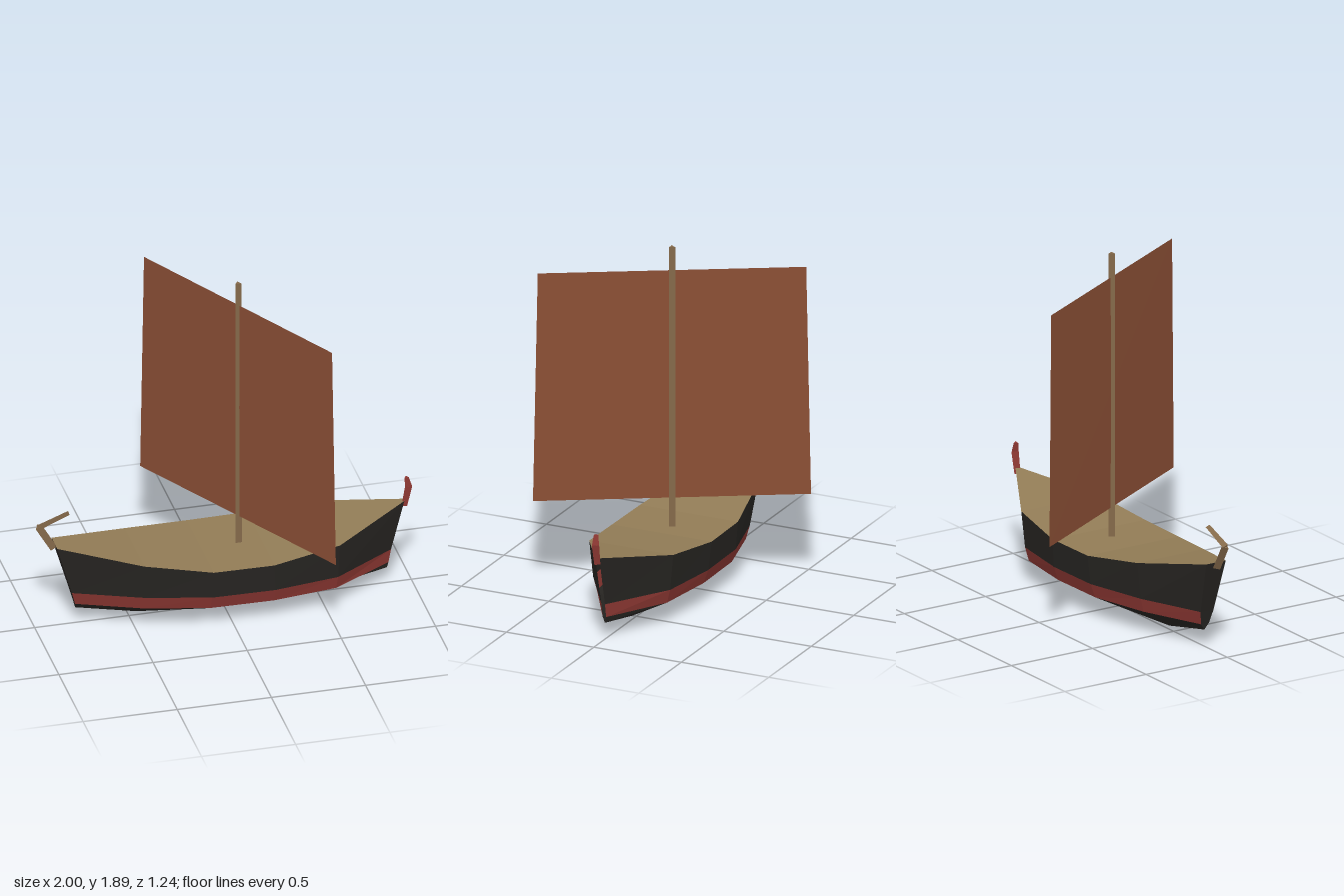
import * as THREE from 'three';

const mat = (color) => new THREE.MeshStandardMaterial({
  color, flatShading: true, side: THREE.DoubleSide, roughness: 0.9,
});

const V = (x, y, z) => new THREE.Vector3(x, y, z);
const mirrorZ = (row) => row.map((p) => V(p.x, p.y, -p.z));

// Flat quads between two rows of points, each pair [lower, upper] adding one strip
function stripMesh(name, material, pairs) {
  const pos = [];
  const tri = (...pts) => pts.forEach((p) => pos.push(p.x, p.y, p.z));
  for (const [a, b] of pairs) {
    for (let i = 0; i < a.length - 1; i++) {
      tri(a[i], a[i + 1], b[i + 1]);
      if (a[i].distanceTo(b[i]) > 1e-5) tri(a[i], b[i + 1], b[i]);
    }
  }
  const geo = new THREE.BufferGeometry();
  geo.setAttribute('position', new THREE.Float32BufferAttribute(pos, 3));
  geo.computeVertexNormals();
  const mesh = new THREE.Mesh(geo, material);
  mesh.name = name;
  return mesh;
}

// Three-sided tapered bar between two points
function bar(name, material, from, to, r0, r1) {
  const dir = to.clone().sub(from);
  const mesh = new THREE.Mesh(new THREE.CylinderGeometry(r1, r0, dir.length(), 3, 1), material);
  mesh.geometry.rotateY(Math.PI);
  mesh.name = name;
  mesh.position.copy(from).add(to).multiplyScalar(0.5);
  mesh.quaternion.setFromUnitVectors(V(0, 1, 0), dir.normalize());
  return mesh;
}

export function createModel() {
  const model = new THREE.Group();
  const black = mat(0x272522);
  const red = mat(0x8e3833);
  const plank = mat(0x927c56);
  const wood = mat(0x84694a);
  const cloth = mat(0x8b4f35);

  // Hull rows from stern to bow, each point [x, y, half width]
  const row = (pts) => pts.map((p) => V(...p));
  const keel = row([[-0.785, 0.095, 0], [-0.46, 0.025, 0], [-0.14, 0.005, 0],
    [0.22, 0.005, 0], [0.55, 0.025, 0], [0.87, 0.095, 0]]);
  const bandLow = row([[-0.792, 0.13, 0.025], [-0.46, 0.13, 0.16], [-0.13, 0.13, 0.24],
    [0.21, 0.13, 0.245], [0.55, 0.13, 0.2], [0.876, 0.13, 0.01]]);
  const bandHigh = row([[-0.812, 0.205, 0.04], [-0.465, 0.205, 0.18], [-0.125, 0.205, 0.265],
    [0.21, 0.205, 0.27], [0.555, 0.205, 0.22], [0.89, 0.205, 0.01]]);
  const rail = row([[-0.895, 0.49, 0.06], [-0.47, 0.405, 0.205], [-0.12, 0.36, 0.28],
    [0.2, 0.36, 0.285], [0.56, 0.402, 0.24], [0.96, 0.482, 0.012]]);

  const bothSides = (low, high) => [[low, high], [mirrorZ(high), mirrorZ(low)]];
  const stern = [keel, bandLow, bandHigh, rail].map((r) => r[0]);
  model.add(
    stripMesh('lowerHull', black, bothSides(keel, bandLow)),
    stripMesh('hullBand', red, bothSides(bandLow, bandHigh)),
    stripMesh('upperHull', black, bothSides(bandHigh, rail)),
    stripMesh('transom', black, [[stern, mirrorZ(stern)]]),
    stripMesh('deck', plank, [[rail, mirrorZ(rail)]]),
  );

  // Mast
  model.add(bar('mast', wood, V(0.08, 0.3, 0), V(0.08, 1.895, 0), 0.02, 0.019));

  // Sail: one slanted sheet through the mast, a little wider at its foot
  model.add(stripMesh('sail', cloth, [[
    [V(-0.28, 0.515, -0.62), V(0.44, 0.515, 0.62)],
    [V(-0.265, 1.765, -0.6), V(0.425, 1.765, 0.6)],
  ]]));

  // Bent tiller at the stern
  const tiller = new THREE.Group();
  tiller.name = 'tiller';
  tiller.add(
    bar('tillerPost', wood, V(-0.9, 0.465, 0), V(-0.98, 0.602, 0), 0.022, 0.022),
    bar('tillerHandle', wood, V(-0.985, 0.598, 0), V(-0.82, 0.663, 0), 0.018, 0.014),
  );
  model.add(tiller);

  // Curved stem head at the bow
  const stem = new THREE.Group();
  stem.name = 'stemHead';
  stem.add(
    bar('stemPost', red, V(0.96, 0.45, 0), V(0.983, 0.565, 0), 0.018, 0.022),
    bar('stemTip', red, V(0.984, 0.56, 0), V(0.973, 0.615, 0), 0.021, 0.014),
  );
  model.add(stem);

  return model;
}
